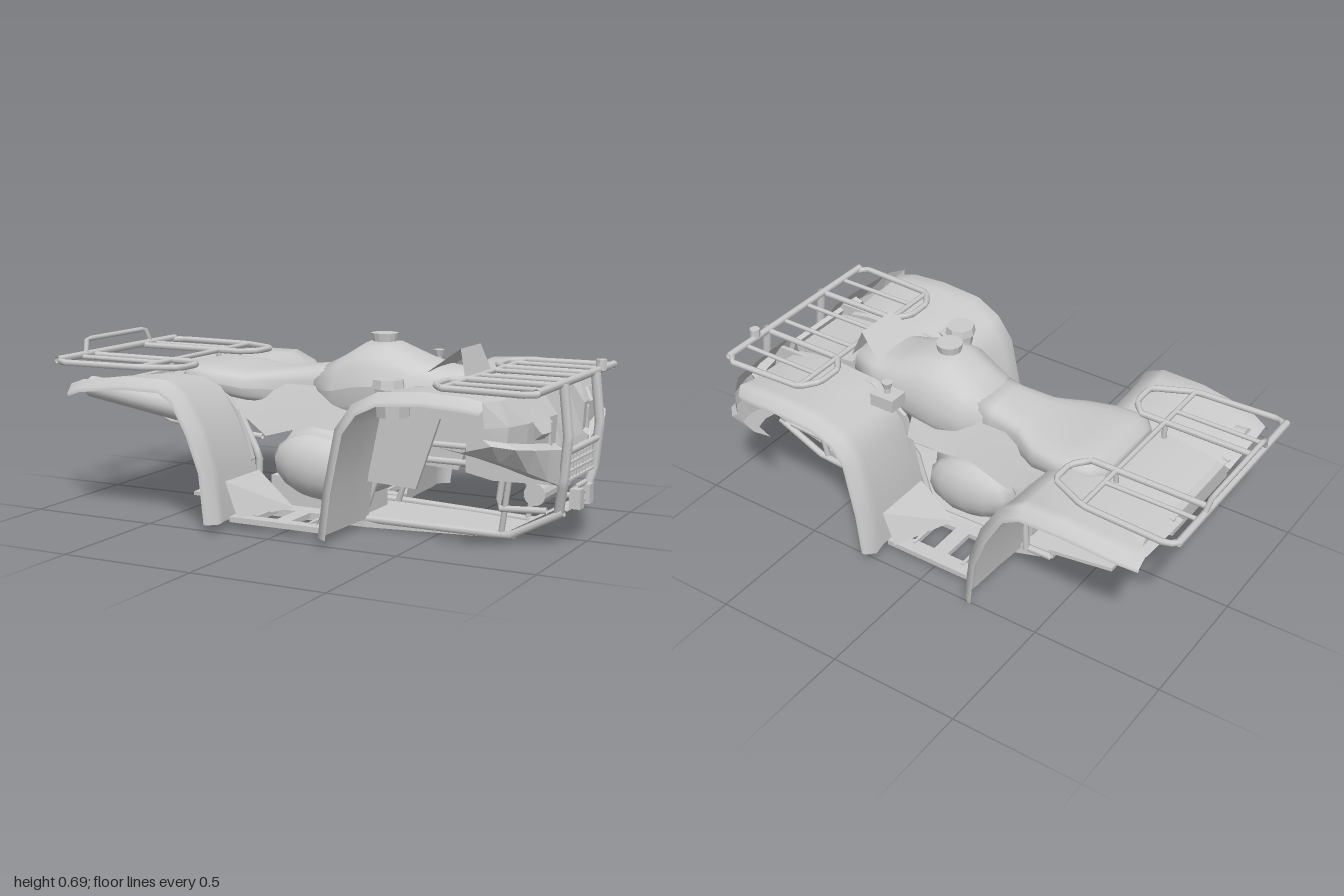
import * as THREE from 'three';

const mat = new THREE.MeshStandardMaterial({ color: 0xcccccc, side: THREE.DoubleSide });
const flat = new THREE.MeshStandardMaterial({ color: 0xcccccc, side: THREE.DoubleSide, flatShading: true });
const V = (p) => new THREE.Vector3(p[0], p[1], p[2]);

export function createModel() {
  const root = new THREE.Group();
  const add = (name, geo, m = mat, parent = root) => {
    const mesh = new THREE.Mesh(geo, m);
    mesh.name = name;
    parent.add(mesh);
    return mesh;
  };
  // Skin through rows of points
  const skin = (rows) => {
    const n = rows[0].length, idx = [];
    for (let i = 0; i < rows.length - 1; i++) for (let j = 0; j < n - 1; j++) {
      const a = i * n + j, b = a + n;
      idx.push(a, b, a + 1, b, b + 1, a + 1);
    }
    const g = new THREE.BufferGeometry();
    g.setAttribute('position', new THREE.Float32BufferAttribute(rows.flat(2), 3));
    g.setIndex(idx);
    g.computeVertexNormals();
    return g;
  };
  // Closed body along x from [x, halfWidth, bottom, top, top taper] stations
  const loft = (stations) => {
    const ring = ([x, w, b, t, taper = 0], k = 1) => Array.from({ length: 25 }, (_, i) => {
      const a = i / 24 * Math.PI * 2, c = Math.cos(a), s = Math.sin(a);
      return [x, (b + t) / 2 + k * (t - b) / 2 * Math.sign(s) * Math.abs(s) ** 0.6,
        k * w * Math.sign(c) * Math.abs(c) ** 0.6 * (1 - taper * Math.max(0, s))];
    });
    return skin([ring(stations[0], 0.01), ...stations.map((s) => ring(s)), ring(stations.at(-1), 0.01)]);
  };
  // Bent pipe with straight runs
  const pipe = (name, pts, r = 0.011, parent = root) => {
    const path = new THREE.CurvePath();
    for (let i = 1; i < pts.length; i++) path.add(new THREE.LineCurve3(V(pts[i - 1]), V(pts[i])));
    return add(name, new THREE.TubeGeometry(path, (pts.length - 1) * 6, r, 7), mat, parent);
  };
  const box = (name, size, pos, rz = 0) => {
    const m = add(name, new THREE.BoxGeometry(...size), flat);
    m.position.set(...pos);
    m.rotation.z = rz;
    return m;
  };
  const cyl = (name, r0, r1, h, pos, rx = 0, sides = 14) => {
    const m = add(name, new THREE.CylinderGeometry(r0, r1, h, sides), flat);
    m.position.set(...pos);
    m.rotation.x = rx;
    return m;
  };
  const plate = (pts, depth, holes = []) => {
    const s = new THREE.Shape(pts.map((p) => new THREE.Vector2(...p)));
    for (const h of holes) s.holes.push(new THREE.Path(h.map((p) => new THREE.Vector2(...p))));
    return new THREE.ExtrudeGeometry(s, { depth, bevelEnabled: false });
  };
  // Horizontal plate, symmetric about z = 0, from [x, halfWidth] points
  const floorPlate = (name, half, depth, top) => {
    const m = add(name, plate([...half.map(([x, w]) => [x, -w]), ...half.toReversed()], depth), flat);
    m.rotation.x = Math.PI / 2;
    m.position.y = top;
  };

  // Seat, tank and dash
  add('seat', loft([[-0.56, 0.17, 0.47, 0.53], [-0.52, 0.21, 0.46, 0.56], [-0.4, 0.22, 0.44, 0.55], [-0.28, 0.2, 0.42, 0.54],
    [-0.18, 0.14, 0.4, 0.55], [-0.05, 0.12, 0.38, 0.565], [0.04, 0.13, 0.37, 0.58]]));
  add('fuelTank', loft([[-0.02, 0.13, 0.4, 0.565, 0.2], [0.07, 0.16, 0.37, 0.61, 0.35], [0.16, 0.18, 0.36, 0.665, 0.4], [0.26, 0.18, 0.38, 0.665, 0.4],
    [0.38, 0.17, 0.42, 0.615, 0.3], [0.47, 0.15, 0.45, 0.59, 0.2], [0.57, 0.12, 0.47, 0.585, 0.1]]));
  cyl('fuelCap', 0.05, 0.045, 0.03, [0.21, 0.68, 0]);
  add('dashLip', skin([[0.44, 0.58, 0.13], [0.55, 0.665, 0.09], [0.58, 0.57, 0.12]].map(([x, y, w]) => [[x, y, -w], [x, y, w]])), flat);

  // Engine with rounded side covers
  add('engine', loft([[-0.18, 0.1, 0.14, 0.27], [-0.12, 0.15, 0.09, 0.33], [0, 0.16, 0.08, 0.36], [0.12, 0.15, 0.08, 0.34], [0.21, 0.1, 0.11, 0.28]]));
  box('gearbox', [0.4, 0.12, 0.18], [-0.02, 0.08, 0]);
  for (const s of [1, -1]) {
    const cover = add('engineCover', new THREE.SphereGeometry(1, 12, 8));
    cover.scale.set(0.195, 0.12, 0.085);
    cover.position.set(0.015, 0.2, s * 0.14);
    cover.rotation.z = -0.15;
  }

  // Skid plate with raised tail and upturned nose
  floorPlate('skidPlate', [[-0.34, 0.13], [-0.2, 0.18], [0.22, 0.18], [0.76, 0.09]], 0.025, 0.03);
  floorPlate('skidTail', [[-0.57, 0.09], [-0.32, 0.13]], 0.015, 0.04);
  add('skidNose', skin([0, 0.5, 1].map((t) => [-1, -0.5, 0.5, 1].map((k) =>
    [0.75 + 0.2 * t, 0.005 + 0.115 * t + (Math.abs(k) === 1 ? 0.03 : 0), k * (0.09 + 0.06 * t)]))), flat);

  // Fender sheets: [x, y, inward x, inward y, outer z]
  const rearArch = [[-0.88, 0.49, 0.1, -1, 0.47], [-0.8, 0.515, 0, -1, 0.5], [-0.6, 0.54, 0, -1, 0.515], [-0.43, 0.54, -0.2, -1, 0.52],
    [-0.35, 0.5, -0.7, -0.7, 0.53], [-0.27, 0.37, -1, -0.4, 0.53], [-0.22, 0.22, -1, 0, 0.53], [-0.2, 0.035, -1, 0, 0.53]];
  const frontArch = [[0.2, 0.035, 1, 0, 0.53], [0.22, 0.2, 1, 0, 0.53], [0.265, 0.42, 1, -0.2, 0.53], [0.33, 0.51, 0.7, -0.7, 0.53],
    [0.43, 0.56, 0.2, -1, 0.535], [0.6, 0.572, 0, -1, 0.535], [0.74, 0.565, -0.2, -1, 0.53], [0.82, 0.545, -0.5, -0.8, 0.515]];
  const fender = (arch, s, zi) => skin(arch.map(([x, y, dx, dy, z]) =>
    [[zi, 0.025], [0.3, 0.015], [z - 0.08, 0.01], [z - 0.03, 0], [z, 0.03], [z + 0.002, 0.045]].map(([zz, d]) => [x + dx * d, y + dy * d, s * zz])));

  for (const s of [1, -1]) {
    add('rearFender', fender(rearArch, s, 0.17));
    add('frontFender', fender(frontArch, s, 0.16));
    // Nose cheek beneath the headlight, with a ridge along its middle
    add('noseCheek', skin([[0.14, 0.87, 0.93, 0.96, 0.22], [0.25, 0.87, 0.92, 0.94, 0.26], [0.36, 0.86, 0.91, 0.91, 0.305],
      [0.46, 0.85, 0.88, 0.85, 0.35], [0.52, 0.81, 0.82, 0.74, 0.385]].map(([z, a, b, c, y], i) =>
      [[a, 0.555, s * z], [b, 0.47, s * z], [b - 0.005, 0.37 + i * 0.016, s * z], [b + 0.025, 0.35 + i * 0.016, s * z], [c, y, s * z], [c - 0.08, y + 0.01, s * z]])), flat);
    const lamp = cyl('headlight', 0.055, 0.065, 0.04, [0.905, 0.46, s * 0.27], 0, 6);
    lamp.rotation.set(0, s * -0.2, -1.1);
    // Inner wheel arch walls
    const wall = add('innerArch', plate([[0.24, 0.18], [0.43, 0.17], [0.52, 0.43], [0.62, 0.43], [0.62, 0.25], [0.72, 0.23], [0.93, 0.235],
      [0.93, 0.45], [0.87, 0.54], [0.43, 0.54], [0.28, 0.45]], 0.015), flat);
    wall.position.z = s * 0.19 - 0.0075;
    const rearWall = add('rearInnerPanel', plate([[-0.86, 0.43], [-0.37, 0.36], [-0.26, 0.2], [-0.23, 0.22], [-0.3, 0.4], [-0.4, 0.52], [-0.86, 0.48]], 0.015), flat);
    rearWall.position.z = s * 0.2 - 0.0075;
    // Rolled pod beneath the rear fender
    const pod = add('rearPod', new THREE.CylinderGeometry(0.04, 0.05, 0.48, 10));
    pod.position.set(-0.61, 0.44, s * 0.36);
    pod.rotation.z = Math.PI / 2 - 0.13;
    // Side shroud between seat and engine
    add('sideShroud', skin([[-0.32, 0.48, 0.4, 0.18], [-0.18, 0.5, 0.31, 0.2], [0, 0.5, 0.36, 0.19], [0.12, 0.5, 0.35, 0.2], [0.27, 0.52, 0.36, 0.2]]
      .map(([x, t, b, w]) => [[x, t, s * 0.13], [x, (t + b) / 2, s * 0.165], [x, b, s * w]])));
    // Foot well: open tread floor and sloping kick panels
    const hole = (a, b) => [[a, 0.24], [b, 0.24], [b, 0.38], [a, 0.38]];
    const floor = add('footboard', plate([[-0.2, 0.18], [0.2, 0.18], [0.2, 0.43], [-0.2, 0.43]], 0.02, [hole(-0.16, -0.03), hole(0.03, 0.16)]), flat);
    floor.rotation.x = Math.PI / 2;
    floor.position.set(0, 0.05, s < 0 ? -0.61 : 0);
    for (const x of [-0.11, 0.11]) box('tread', [0.012, 0.02, 0.16], [x, 0.045, s * 0.31]);
    for (const e of [-1, 1]) add('kickPanel', skin([[[e * 0.21, 0.18, s * 0.2], [e * 0.21, 0.18, s * 0.44]],
      [[e * 0.06, 0.05, s * 0.2], [e * 0.16, 0.05, s * 0.44]]]), flat);
    // Chassis pipes
    pipe('lowerRail', [[-0.34, 0.03, s * 0.15], [0.2, 0.035, s * 0.17], [0.76, 0.025, s * 0.13], [0.96, 0.13, s * 0.14]], 0.014);
    pipe('upperRail', [[0.2, 0.04, s * 0.15], [0.28, 0.27, s * 0.14], [0.74, 0.27, s * 0.14], [0.72, 0.12, s * 0.14], [0.9, 0.13, s * 0.14]], 0.012);
    pipe('frontStrut', [[0.73, 0.03, s * 0.13], [0.77, 0.28, s * 0.15], [0.8, 0.52, s * 0.15]]);
    pipe('rearStrut', [[-0.24, 0.03, s * 0.16], [-0.23, 0.22, s * 0.16], [-0.36, 0.44, s * 0.14]], 0.014);
    pipe('rearHanger', [[-0.24, 0.29, s * 0.12], [-0.66, 0.32, s * 0.12], [-0.73, 0.37, s * 0.12], [-0.8, 0.45, s * 0.12]]);
    pipe('bumperUpright', [[0.94, 0.13, s * 0.13], [0.965, 0.24, s * 0.16], [0.98, 0.4, s * 0.165], [0.96, 0.58, s * 0.165]], 0.018);
    box('bumperFoot', [0.04, 0.07, 0.04], [0.975, 0.165, s * 0.05]);
  }

  // Tail deck and tail crosspiece
  add('tailDeck', skin([[-0.85, 0.46], [-0.7, 0.49], [-0.5, 0.5], [-0.32, 0.46]].map(([x, y]) => [-0.2, -0.08, 0.08, 0.2].map((z) => [x, y, z]))));
  box('tailPanel', [0.03, 0.07, 0.4], [-0.84, 0.44, 0]);
  pipe('gearLever', [[-0.45, 0.2, 0.1], [-0.4, 0.23, 0.12], [-0.38, 0.29, 0.12]], 0.01);

  // Nose centre: sloping panel, grille and winch
  box('nosePanel', [0.02, 0.2, 0.3], [0.88, 0.45, 0], 0.35);
  box('noseInset', [0.03, 0.11, 0.15], [0.9, 0.42, 0], 0.35);
  box('noseTop', [0.27, 0.02, 0.28], [0.7, 0.53, 0], -0.1);
  for (const y of [0.24, 0.27, 0.3, 0.335]) box('grilleBar', [0.015, 0.008, 0.28], [0.965, y, 0]);
  for (let i = -4; i <= 4; i++) box('grilleRib', [0.012, 0.1, 0.007], [0.96, 0.288, i * 0.033]);
  box('grilleBack', [0.01, 0.1, 0.27], [0.945, 0.288, 0]);
  pipe('bumperCross', [[0.975, 0.345, -0.16], [0.975, 0.345, 0.16]], 0.012);
  cyl('winchDrum', 0.04, 0.04, 0.26, [0.85, 0.18, 0], Math.PI / 2);
  for (const y of [0.145, 0.175, 0.205]) pipe('winchRoller', [[0.97, y, -0.05], [0.97, y, 0.05]], 0.01);

  // Shift knob and storage cap on the front fenders
  box('shiftGate', [0.1, 0.05, 0.08], [0.32, 0.54, -0.24]);
  cyl('shiftStem', 0.01, 0.012, 0.06, [0.32, 0.57, -0.24]);
  cyl('shiftKnob', 0.022, 0.014, 0.025, [0.32, 0.6, -0.24], 0, 8);
  cyl('storageCap', 0.055, 0.06, 0.03, [0.36, 0.555, 0.28], 0, 8);
  cyl('storageTub', 0.07, 0.06, 0.1, [0.38, 0.49, 0.28], 0, 8);

  // Cargo racks: outer hoops, lengthwise rails and one crossbar
  const rack = (name, y, out, shoulder, inner, rails) => {
    const g = new THREE.Group();
    g.name = name;
    root.add(g);
    const d = Math.sign(out);
    pipe('rackEnd', [[out, y + 0.006, -0.4], [out, y + 0.006, 0.4]], 0.014, g);
    pipe('rackCross', [[shoulder, y, -0.4], [shoulder, y, 0.4]], 0.01, g);
    for (const z of rails) pipe('rackRail', [[shoulder, y, z], [out, y, z]], 0.009, g);
    for (const s of [1, -1]) {
      pipe('rackHoop', [[out, y, s * 0.38], [out - d * 0.03, y, s * 0.415], [shoulder, y, s * 0.4], [inner, y, s * 0.33],
        [inner, y, s * 0.23], [inner + d * 0.05, y, s * 0.17], [out, y, s * 0.17]], 0.012, g);
      pipe('rackLeg', [[shoulder, y, s * 0.17], [shoulder, y - 0.09, s * 0.17]], 0.01, g);
    }
  };
  rack('rearRack', 0.562, -0.975, -0.61, -0.46, [-0.25, 0.25]);
  rack('frontRack', 0.572, 0.95, 0.61, 0.56, [-0.3, -0.08, 0.06, 0.29]);
  pipe('rackGrabRail', [[-0.975, 0.57, -0.22], [-0.985, 0.625, -0.2], [-0.985, 0.625, 0.2], [-0.975, 0.57, 0.22]], 0.01);
  cyl('rackLug', 0.02, 0.02, 0.04, [0.955, 0.595, -0.24], 0, 8);
  return root;
}
